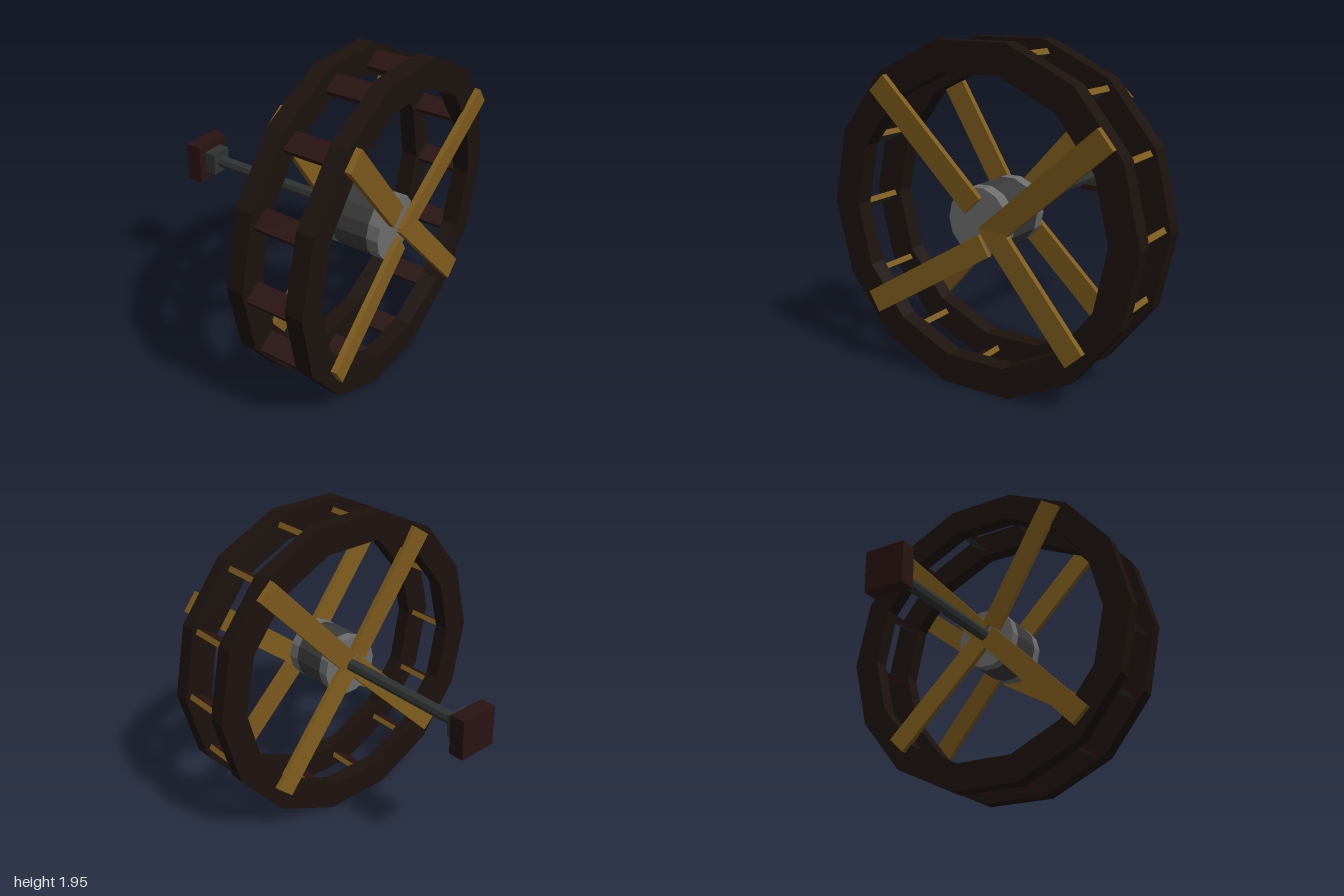
import * as THREE from 'three';

const CY = 0.975;   // height of the wheel axis
const SIDES = 14;

const mat = (color) => new THREE.MeshStandardMaterial({ color, flatShading: true });
const darkWood = mat(0x1c120e);
const redWood = mat(0x2a1313);
const gold = mat(0x7e5b1d);
const iron = mat(0x303333);
const hubDark = mat(0x3a3a3a);
const steel = mat(0x6c6c6c);

export function createModel() {
  const model = new THREE.Group();

  const add = (name, geometry, material, x = 0, y = 0, z = 0) => {
    const mesh = new THREE.Mesh(geometry, material);
    mesh.name = name;
    mesh.position.set(x, y, z);
    model.add(mesh);
    return mesh;
  };

  // Cylinder lying along x, from x0 to x1
  const rod = (name, r, x0, x1, sides, material, y = CY, z = 0) =>
    add(name, new THREE.CylinderGeometry(r, r, x1 - x0, sides).rotateZ(Math.PI / 2),
      material, (x0 + x1) / 2, y, z);

  // Two polygonal rims
  const polygon = (r) => Array.from({ length: SIDES }, (_, i) => {
    const a = (i / SIDES) * Math.PI * 2;
    return new THREE.Vector2(r * Math.cos(a), r * Math.sin(a));
  });
  const rim = new THREE.Shape(polygon(1));
  rim.holes.push(new THREE.Path(polygon(0.825).reverse()));
  const rimGeometry = new THREE.ExtrudeGeometry(rim, { depth: 0.103, bevelEnabled: false })
    .rotateY(Math.PI / 2);
  add('rightRim', rimGeometry, darkWood, 0.26, CY, 0);
  add('leftRim', rimGeometry, darkWood, 0.63, CY, 0);

  // Treads between the rims, all tilted the same way
  const treadGeometry = new THREE.BoxGeometry(0.29, 0.034, 0.125);
  const treadMaterials = [redWood, redWood, redWood, iron, redWood, gold];
  for (let i = 0; i < SIDES; i++) {
    const front = i < 7;
    const degrees = front ? 77.1 - i * 26.3 : 77.1 - i * 25.714;
    const a = THREE.MathUtils.degToRad(degrees);
    const tread = add('tread', treadGeometry, treadMaterials,
      0.496, CY + 0.912 * Math.sin(a) - 0.01, 0.912 * Math.cos(a));
    tread.rotation.x = Math.PI / 6;
  }

  // Hub drum with lighter end bands
  rod('hubDrum', 0.195, 0.385, 0.605, SIDES, hubDark);
  rod('hubBand', 0.195, 0.315, 0.385, SIDES, steel);
  rod('hubBand', 0.195, 0.605, 0.68, SIDES, steel);

  // Flat spokes, leaning outwards from the hub over the rim: [z, y] outer, [z, y] inner
  const spoke = (name, xOut, xIn, [z0, y0], [z1, y1]) => {
    const outer = new THREE.Vector3(xOut, y0, z0);
    const inner = new THREE.Vector3(xIn, y1, z1);
    const along = outer.clone().sub(inner);
    const length = along.length();
    along.normalize();
    const across = new THREE.Vector3(1, 0, 0).cross(along).normalize();
    const normal = along.clone().cross(across);
    const mesh = add(name, new THREE.BoxGeometry(length, 0.135, 0.035), gold);
    mesh.quaternion.setFromRotationMatrix(new THREE.Matrix4().makeBasis(along, across, normal));
    mesh.position.copy(outer).add(inner).multiplyScalar(0.5);
  };
  [
    [[0.61, 1.705], [0.02, 1.065]],
    [[-0.82, 1.52], [-0.07, 0.90]],
    [[0.70, 0.405], [-0.05, 0.85]],
    [[-0.655, 0.34], [-0.07, 0.98]],
  ].forEach(([o, i]) => spoke('leftSpoke', 0.756, 0.692, o, i));
  [
    [[0.53, 1.765], [0.05, 1.04]],
    [[-0.65, 1.70], [-0.02, 1.01]],
    [[0.65, 0.32], [0.02, 0.98]],
    [[-0.62, 0.34], [-0.03, 0.96]],
  ].forEach(([o, i]) => spoke('rightSpoke', 0.244, 0.305, o, i));

  // Axle with its collar and end block
  rod('axle', 0.038, -0.62, 0.33, 8, iron, 0.992, -0.007);
  add('axleCollar', new THREE.BoxGeometry(0.075, 0.14, 0.14), iron, -0.645, 0.992, -0.006);
  add('axleBlock', new THREE.BoxGeometry(0.1, 0.25, 0.25), redWood, -0.73, 0.99, -0.006);

  return model;
}
